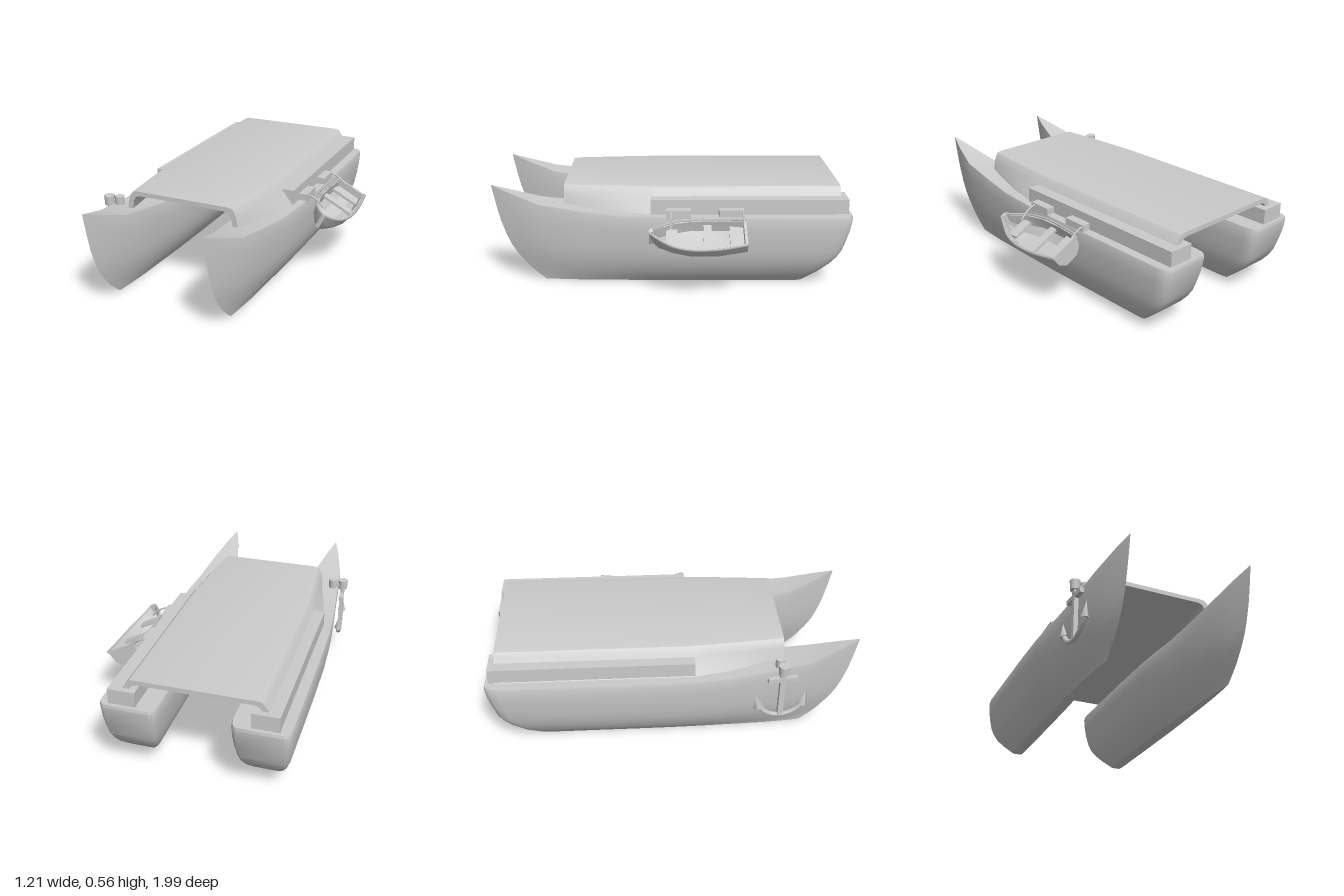
import * as THREE from 'three';
import { toCreasedNormals } from 'three/addons/utils/BufferGeometryUtils.js';

const grey = new THREE.MeshStandardMaterial({ color: 0xcccccc, side: THREE.DoubleSide });

function add(parent, name, geometry, x = 0, y = 0, z = 0) {
  const mesh = new THREE.Mesh(geometry, grey);
  mesh.name = name;
  mesh.position.set(x, y, z);
  parent.add(mesh);
  return mesh;
}

function box(parent, name, x0, x1, y0, y1, z0, z1) {
  return add(parent, name, new THREE.BoxGeometry(x1 - x0, y1 - y0, z1 - z0),
    (x0 + x1) / 2, (y0 + y1) / 2, (z0 + z1) / 2);
}

// Skin over closed rings; each end is capped by joining point k with point n-1-k.
function loft(rings, crease) {
  const pos = [];
  const tri = (a, b, c) => {
    const ab = b.clone().sub(a), ac = c.clone().sub(a);
    if (ab.cross(ac).length() > 1e-9) for (const p of [a, b, c]) pos.push(p.x, p.y, p.z);
  };
  const quad = (a, b, c, d) => { tri(a, b, c); tri(a, c, d); };
  const n = rings[0].length, last = rings[rings.length - 1], first = rings[0];
  for (let j = 0; j < rings.length - 1; j++) {
    for (let k = 0; k < n; k++) {
      const m = (k + 1) % n;
      quad(rings[j][k], rings[j][m], rings[j + 1][m], rings[j + 1][k]);
    }
  }
  for (let k = 0; k < n / 2 - 1; k++) {
    quad(last[k], last[k + 1], last[n - 2 - k], last[n - 1 - k]);
    quad(first[n - 1 - k], first[n - 2 - k], first[k + 1], first[k]);
  }
  const geometry = new THREE.BufferGeometry();
  geometry.setAttribute('position', new THREE.Float32BufferAttribute(pos, 3));
  return toCreasedNormals(geometry, crease);
}

const V = (x, y, z) => new THREE.Vector3(x, y, z);

// Piecewise-linear lookup through [key, value] pairs with rising keys.
function lookup(table, t) {
  for (let i = 1; i < table.length; i++) {
    const [a, va] = table[i - 1], [b, vb] = table[i];
    if (t <= b) return va + (vb - va) * Math.max(0, (t - a) / (b - a));
  }
  return table[table.length - 1][1];
}

// Slim hull: waterlines stacked from keel to sheer
function hullGeometry() {
  const sheer = [[-1, 0.42], [0.3, 0.42], [0.42, 0.43], [0.6, 0.45], [0.73, 0.47], [0.87, 0.515], [1, 0.562]];
  const plan = [[0, 0], [0.05, 0.036], [0.135, 0.082], [0.25, 0.105], [0.35, 0.127], [0.42, 0.14], [0.5, 0.149],
    [0.65, 0.153], [0.8, 0.153], [0.965, 0.153], [0.985, 0.147], [0.995, 0.135], [1, 0.12]];
  // height fraction, bow z, stern z, width factor
  const levels = [[0, 0.72, -0.74, 0.2], [0.08, 0.765, -0.78, 0.38], [0.16, 0.81, -0.82, 0.55], [0.3, 0.87, -0.885, 0.74],
    [0.4, 0.905, -0.92, 0.83], [0.5, 0.93, -0.945, 0.89], [0.65, 0.958, -0.965, 0.95],
    [0.8, 0.978, -0.982, 0.985], [0.96, 0.996, -0.993, 1], [1, 1, -0.99, 0.97]];
  return loft(levels.map(([t, bow, stern, w]) => {
    const side = plan.map(([f, half]) => {
      const z = bow + (stern - bow) * f;
      return V(half * w, t * lookup(sheer, z), z);
    });
    return [...side, ...side.map(p => V(-p.x, p.y, p.z)).reverse()];
  }), 0.6);
}

// Bridge deck: thin arched plate whose sides turn down onto the hulls
function bridgeGeometry() {
  const rear = [[0.435, 0.42], [0.37, 0.505], [0.352, 0.535], [0.338, 0.55], [0.315, 0.555]];
  const front = [[0.335, 0.42], [0.32, 0.505], [0.308, 0.535], [0.295, 0.55], [0.27, 0.555]];
  const inset = [[0.03, 0], [0.03, 0.005], [0.03, 0.015], [0.03, 0.022], [0.027, 0.025]];
  const ring = (z, t) => {
    const outer = rear.map(([x, y], i) => V(x + (front[i][0] - x) * t, y, z));
    const inner = outer.map((p, i) => V(p.x - inset[i][0], p.y - inset[i][1], z));
    const mirror = p => V(-p.x, p.y, p.z);
    return [...inner.map(mirror), ...[...inner].reverse(), ...outer, ...outer.map(mirror).reverse()];
  };
  return loft([ring(-0.94, 0), ring(0.1, 0), ring(0.38, 0.5), ring(0.6, 1)], 0.6);
}

// Open tender with chined sides, transom, rails and benches
function dinghy() {
  const group = new THREE.Group();
  group.name = 'dinghy';
  // z, half rim, half chine, half floor, rim y, floor y
  const stations = [[-0.4, 0.09, 0.078, 0.04, 0.02, -0.085], [-0.25, 0.108, 0.095, 0.05, 0.005, -0.1],
    [-0.1, 0.108, 0.095, 0.05, 0, -0.1], [0, 0.085, 0.07, 0.035, 0.005, -0.1],
    [0.07, 0.045, 0.033, 0.015, 0.015, -0.085], [0.12, 0.012, 0.008, 0.004, 0.03, -0.03]];
  const profile = ([z, rim, chine, floor, top, low], wall) => {
    const half = [[rim, top], [chine, low + (top - low) * 0.36 + wall * 0.5], [floor, low + wall]]
      .map(([x, y]) => V(Math.max(x - wall, 0.001), y, z));
    return [...half.map(p => V(-p.x, p.y, p.z)), ...half.reverse()];
  };
  add(group, 'dinghyHull', loft(stations.map(s => [...profile(s, 0), ...profile(s, 0.012).reverse()]), 0.3));
  const end = stations[0];
  add(group, 'dinghyTransom', loft([profile(end, 0), profile([-0.385, ...end.slice(1)], 0)], 0.3));
  for (const s of [-1, 1]) {
    const path = new THREE.CatmullRomCurve3(stations.map(p => V(s * p[1], p[4], p[0])));
    add(group, s < 0 ? 'innerRail' : 'outerRail', new THREE.TubeGeometry(path, 20, 0.008, 4));
  }
  box(group, 'sternBench', -0.082, 0.082, -0.035, -0.02, -0.39, -0.31);
  box(group, 'middleBench', -0.095, 0.095, -0.035, -0.02, -0.215, -0.17);
  box(group, 'bowBench', -0.06, 0.06, -0.035, -0.02, -0.03, 0.03);
  box(group, 'stemPost', -0.012, 0.012, -0.055, 0.035, 0.1, 0.122);
  group.position.set(0.498, 0.362, 0);
  group.rotation.z = -0.48;
  return group;
}

// Hanging anchor with curved arms and pointed flukes
function anchor() {
  const group = new THREE.Group();
  group.name = 'anchor';
  box(group, 'shank', -0.012, 0.012, 0.15, 0.46, -0.015, 0.015);
  box(group, 'stock', -0.012, 0.012, 0.39, 0.415, -0.08, 0.08);
  const arms = add(group, 'arms', new THREE.TorusGeometry(0.135, 0.014, 6, 16, Math.PI * 0.8), 0, 0.29, 0);
  arms.rotation.set(0, Math.PI / 2, 0);
  arms.geometry.rotateZ(Math.PI * 1.1);
  for (const s of [-1, 1]) {
    const fluke = add(group, 'fluke', new THREE.ConeGeometry(0.03, 0.09, 4), 0, 0.265, s * 0.13);
    fluke.scale.x = 0.8;
    fluke.rotation.x = s * 0.2;
  }
  const ring = add(group, 'shackle', new THREE.TorusGeometry(0.022, 0.006, 6, 14), 0, 0.455, 0);
  ring.rotation.y = Math.PI / 2;
  group.position.set(-0.572, 0, 0.58);
  group.rotation.y = 0.08;
  return group;
}

export function createModel() {
  const model = new THREE.Group();
  model.name = 'catamaran';

  // Twin hulls and the sills carrying the bridge deck
  const hull = hullGeometry();
  add(model, 'leftHull', hull, 0.229);
  add(model, 'rightHull', hull, -0.451);
  box(model, 'leftSill', 0.185, 0.328, 0.4, 0.503, -0.972, 0.115);
  box(model, 'rightSill', -0.545, -0.403, 0.4, 0.503, -0.972, 0.115);
  add(model, 'bridgeDeck', bridgeGeometry(), -0.113);

  // Tender on its brackets and davit arms
  model.add(dinghy());
  for (const [z0, z1, arm] of [[-0.395, -0.258, -0.388], [-0.105, 0.032, 0.005]]) {
    box(model, 'davitBracket', 0.325, 0.377, 0.4, 0.458, z0, z1);
    const path = new THREE.QuadraticBezierCurve3(V(0.35, 0.45, arm), V(0.41, 0.455, arm), V(0.47, 0.385, arm));
    add(model, 'davitArm', new THREE.TubeGeometry(path, 10, 0.005, 6));
  }

  // Anchor and its two bollards
  model.add(anchor());
  add(model, 'deckBollard', new THREE.CylinderGeometry(0.027, 0.024, 0.065, 14), -0.515, 0.465, 0.57);
  add(model, 'outerBollard', new THREE.CylinderGeometry(0.029, 0.026, 0.055, 14), -0.575, 0.468, 0.58);
  box(model, 'bollardLink', -0.575, -0.515, 0.455, 0.475, 0.562, 0.585);
  return model;
}
